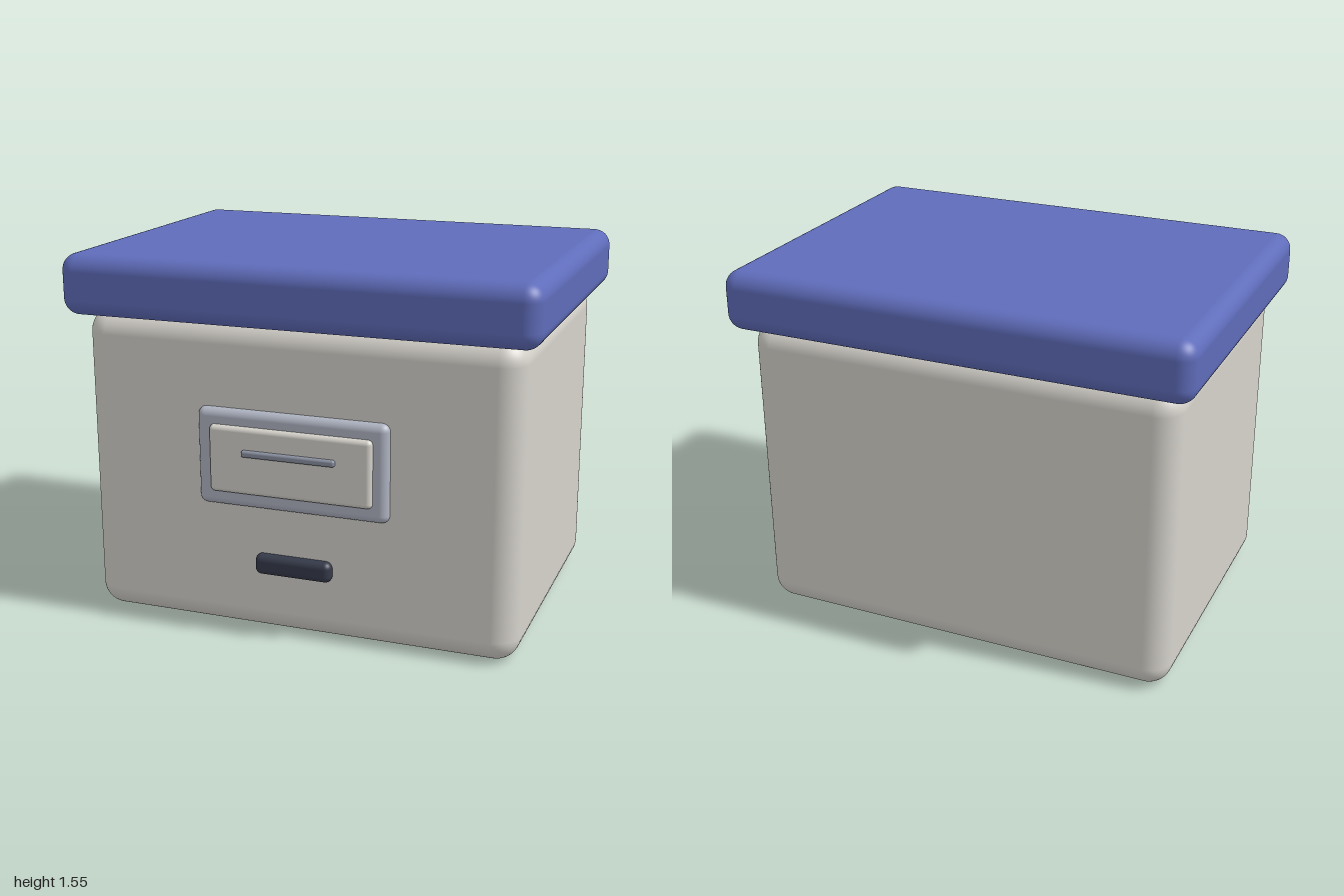
import * as THREE from 'three';
import { RoundedBoxGeometry } from 'three/addons/geometries/RoundedBoxGeometry.js';

const mat = (color) => new THREE.MeshStandardMaterial({ color });

// Rounded block given by its extents: half width, [y0, y1], [z0, z1]
function block(name, halfX, [y0, y1], [z0, z1], radius, material) {
  const geometry = new RoundedBoxGeometry(2 * halfX, y1 - y0, z1 - z0, 6, radius);
  const mesh = new THREE.Mesh(geometry, material);
  mesh.name = name;
  mesh.position.set(0, (y0 + y1) / 2, (z0 + z1) / 2);
  return mesh;
}

export function createModel() {
  const model = new THREE.Group();
  model.name = 'storageBox';

  const cream = mat(0xd6d3cc);
  const blue = mat(0x5f6cba);
  const silver = mat(0xb0b5c3);
  const grey = mat(0x8a90a0);
  const dark = mat(0x353a4a);

  // Box and overhanging lid
  model.add(block('body', 0.93, [0, 1.32], [-0.665, 0.665], 0.1, cream));
  model.add(block('lid', 1, [1.3, 1.555], [-0.735, 0.735], 0.07, blue));

  // Label holder stacked on the front face
  const label = new THREE.Group();
  label.name = 'labelHolder';
  label.add(block('labelFrame', 0.41, [0.55, 0.962], [0.617, 0.697], 0.034, silver));
  label.add(block('labelCard', 0.348, [0.615, 0.898], [0.672, 0.72], 0.02, cream));
  label.add(block('labelLine', 0.2, [0.78, 0.808], [0.712, 0.738], 0.01, grey));
  model.add(label);

  // Small dark grip below the label
  model.add(block('grip', 0.166, [0.266, 0.353], [0.63, 0.702], 0.028, dark));

  return model;
}
